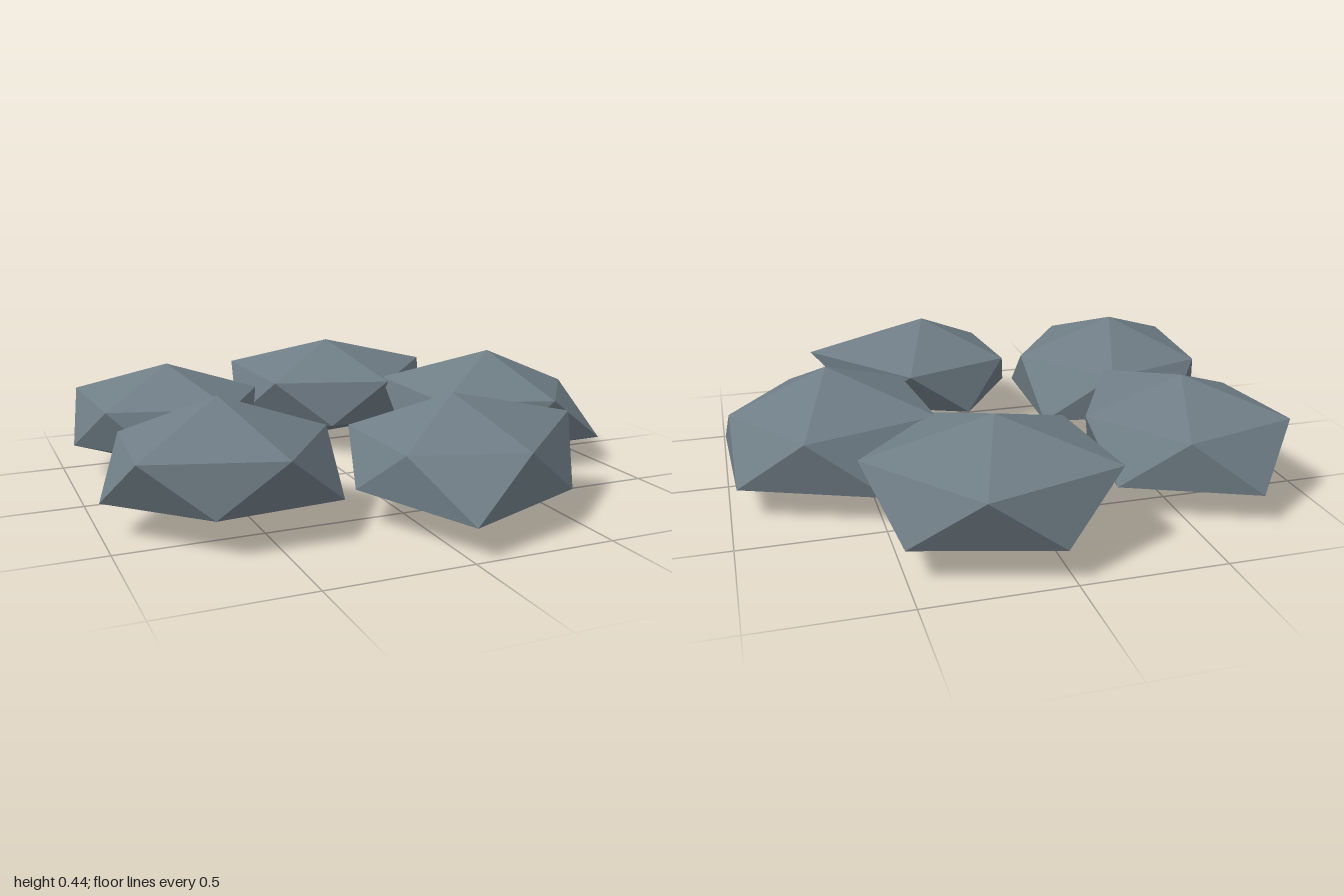
import * as THREE from 'three';

// Each stone is a squashed icosahedron whose corners are pushed in or out.
// upper / lower: horizontal reach of the five corners in each ring.
const STONES = [
  { name: 'backStone', x: 0.155, z: -0.59, top: 0.425, bottom: 0.015,
    upper: [0.445, 0.41, 0.435, 0.39, 0.395], lower: [0.43, 0.41, 0.41, 0.36, 0.42] },
  { name: 'leftStone', x: 0.625, z: -0.02, top: 0.44, bottom: 0.012,
    upper: [0.35, 0.395, 0.43, 0.385, 0.35], lower: [0.43, 0.46, 0.37, 0.335, 0.455] },
  { name: 'frontStone', x: 0.155, z: 0.55, top: 0.427, bottom: 0.015,
    upper: [0.47, 0.41, 0.36, 0.33, 0.35], lower: [0.34, 0.37, 0.355, 0.45, 0.41] },
  { name: 'frontRightStone', x: -0.6, z: 0.33, top: 0.437, bottom: 0.04,
    upper: [0.385, 0.36, 0.36, 0.4, 0.395], lower: [0.45, 0.4, 0.4, 0.355, 0.43] },
  { name: 'backRightStone', x: -0.6, z: -0.375, top: 0.415, bottom: 0.003,
    upper: [0.36, 0.345, 0.39, 0.345, 0.435], lower: [0.4, 0.435, 0.37, 0.355, 0.34] },
];
const MID = 0.21;    // height of the stones' middle
const SLOPE = 0.23;  // ring height per unit of reach

function stoneGeometry({ top, bottom, upper, lower }) {
  const points = [0, top, 0, 0, bottom, 0];
  const addRing = (reaches, offset, side) => reaches.forEach((r, i) => {
    const a = ((i + offset) * Math.PI * 2) / 5;
    points.push(r * Math.cos(a), MID + side * SLOPE * r, -r * Math.sin(a));
  });
  addRing(upper, 0, 1);
  addRing(lower, 0.5, -1);

  const faces = [];
  for (let i = 0; i < 5; i++) {
    const j = (i + 1) % 5;
    const u0 = 2 + i, u1 = 2 + j, l0 = 7 + i, l1 = 7 + j;
    faces.push(0, u0, u1, u0, l0, u1, l0, l1, u1, 1, l1, l0);
  }
  const indexed = new THREE.BufferGeometry();
  indexed.setAttribute('position', new THREE.Float32BufferAttribute(points, 3));
  indexed.setIndex(faces);
  const geometry = indexed.toNonIndexed();
  geometry.computeVertexNormals();
  return geometry;
}

export function createModel() {
  const group = new THREE.Group();
  group.name = 'stoneRing';
  const material = new THREE.MeshStandardMaterial({ color: 0x6f7d86, flatShading: true });
  for (const stone of STONES) {
    const mesh = new THREE.Mesh(stoneGeometry(stone), material);
    mesh.name = stone.name;
    mesh.position.set(stone.x, 0, stone.z);
    group.add(mesh);
  }
  return group;
}
